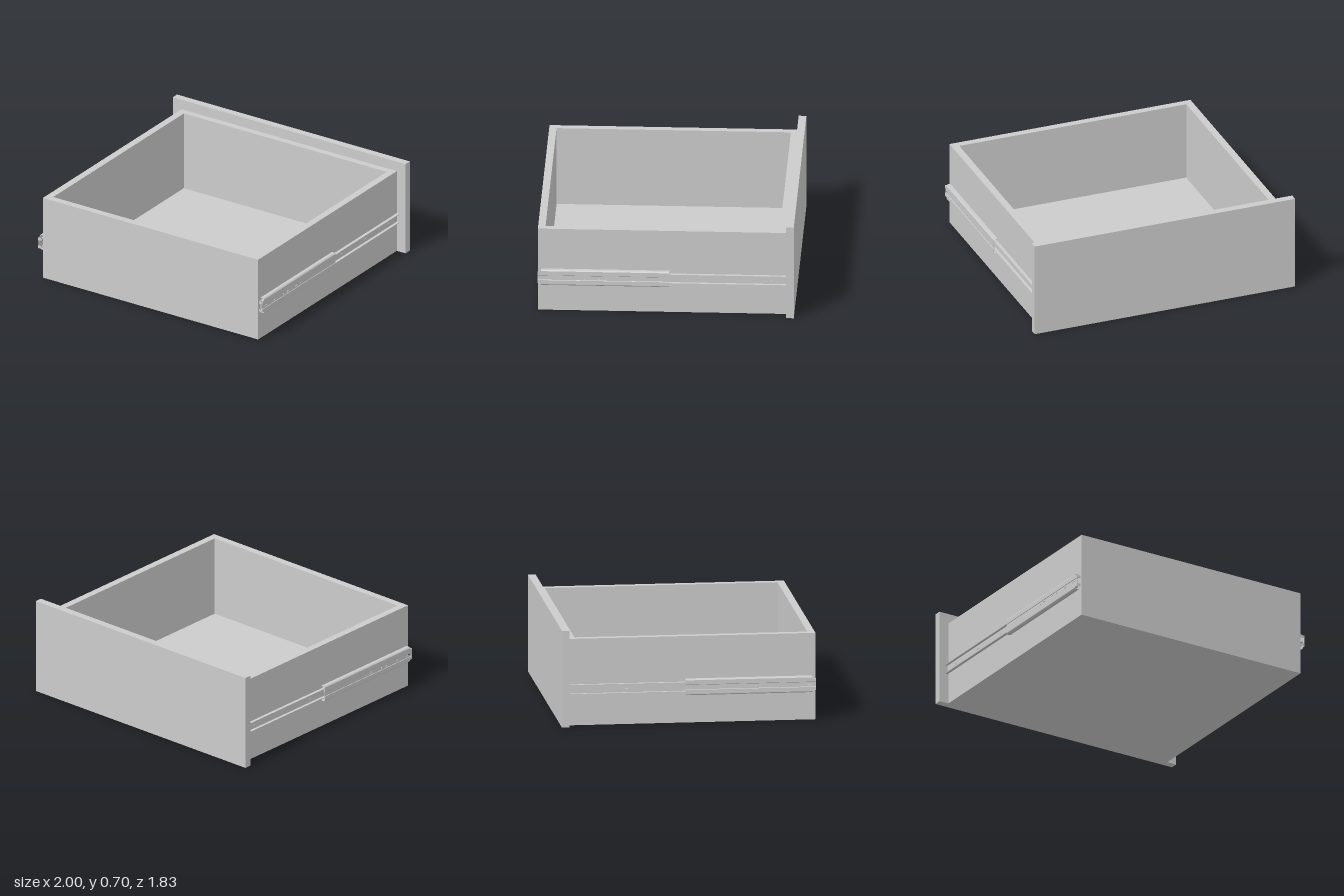
import * as THREE from 'three';

const material = new THREE.MeshStandardMaterial({ color: 0xcccccc, flatShading: true });
const RAIL_Y = 0.264;

function part(name, geometry, parent) {
  const mesh = new THREE.Mesh(geometry, material);
  mesh.name = name;
  parent.add(mesh);
  return mesh;
}

// Box given by its limits on each axis
function block(name, parent, [x0, x1], [y0, y1], [z0, z1]) {
  const g = new THREE.BoxGeometry(x1 - x0, y1 - y0, z1 - z0);
  g.translate((x0 + x1) / 2, (y0 + y1) / 2, (z0 + z1) / 2);
  return part(name, g, parent);
}

// Counter-clockwise rectangle as a Shape or a Path
function rectangle(Type, x0, x1, y0, y1) {
  return new Type([[x0, y0], [x1, y0], [x1, y1], [x0, y1]].map(([x, y]) => new THREE.Vector2(x, y)));
}

// Sheet-metal section: a bent line thickened to t, extruded along z
function bentSheet(name, parent, line, t, z0, z1) {
  const pts = line.map(([x, y]) => new THREE.Vector2(x, y));
  const last = pts.length - 1;
  const normal = (a, b) => new THREE.Vector2(a.y - b.y, b.x - a.x).normalize();
  const offset = (d) => pts.map((p, i) => {
    const n0 = normal(pts[Math.max(i - 1, 0)], pts[Math.max(i, 1)]);
    const n1 = normal(pts[Math.min(i, last - 1)], pts[Math.min(i + 1, last)]);
    const m = n0.clone().add(n1).normalize();
    return p.clone().addScaledVector(m, d / Math.max(m.dot(n0), 0.5));
  });
  const shape = new THREE.Shape([...offset(t / 2), ...offset(-t / 2).reverse()]);
  const g = new THREE.ExtrudeGeometry(shape, { depth: z1 - z0, bevelEnabled: false });
  g.translate(0, 0, z0);
  return part(name, g, parent);
}

// Upright plate in the z-y plane, with rounded slots [z, length, height]
function slottedPlate(name, parent, x, t, halfHeight, z0, z1, slots) {
  const shape = rectangle(THREE.Shape, z0, z1, -halfHeight, halfHeight);
  for (const [z, length, height] of slots) {
    const r = height / 2, d = Math.max(length / 2 - r, 0);
    const hole = new THREE.Path();
    hole.absarc(z + d, 0, r, -Math.PI / 2, Math.PI / 2, false);
    hole.absarc(z - d, 0, r, Math.PI / 2, Math.PI * 1.5, false);
    shape.holes.push(hole);
  }
  const g = new THREE.ExtrudeGeometry(shape, { depth: t, bevelEnabled: false, curveSegments: 8 });
  g.rotateY(-Math.PI / 2);
  g.translate(x + t / 2, 0, 0);
  return part(name, g, parent);
}

// Telescopic slide; s is the side, u grows away from the drawer wall
function makeSlide(s) {
  const slide = new THREE.Group();
  slide.name = s > 0 ? 'leftSlide' : 'rightSlide';
  const section = (points, v = 1) => points.map(([u, y]) => [s * u, v * y]);
  const slots = [
    [0.755, 0.02, 0.008], [0.64, 0.02, 0.018], [0.585, 0.016, 0.018],
    [0.475, 0.02, 0.014], [0.425, 0.01, 0.01],
  ];

  // Inner rail fixed along the whole drawer side
  slottedPlate('innerRailWeb', slide, s * 0.002, 0.003, 0.032, -0.862, 0.885,
    [[-0.75, 0.014, 0.014], [-0.45, 0.03, 0.012], [-0.15, 0.014, 0.014]]);
  for (const v of [1, -1]) {
    bentSheet('innerRailFlange', slide, section([[0.001, 0.033], [0.024, 0.033]], v), 0.005, -0.862, 0.885);
  }

  // Middle runner, with the ball strips between the rails
  slottedPlate('middleRunnerWeb', slide, s * 0.027, 0.002, 0.037, -0.02, 0.85, slots);
  for (const v of [1, -1]) {
    bentSheet('middleRunnerFlange', slide,
      section([[0.027, 0.036], [0.022, 0.041], [0.014, 0.041], [0.009, 0.046]], v), 0.003, -0.02, 0.85);
    for (let i = 0; i < 8; i++) {
      const ball = part('bearingBall', new THREE.SphereGeometry(0.005, 8, 6), slide);
      ball.position.set(s * 0.017, v * 0.048, 0.3 + i * 0.05);
    }
  }

  // Outer rail: recessed slotted web, stepped shoulders and curled flanges
  slottedPlate('outerRailWeb', slide, s * 0.031, 0.003, 0.018, -0.025, 0.915,
    [[0.875, 0.045, 0.008], ...slots]);
  for (const v of [1, -1]) {
    bentSheet('outerRailShoulder', slide,
      section([[0.031, 0.017], [0.034, 0.02], [0.034, 0.043]], v), 0.003, -0.025, 0.915);
    bentSheet('outerRailFlange', slide, section([
      [0.034, 0.042], [0.034, 0.05], [0.028, 0.057], [0.005, 0.057], [0.003, 0.052],
    ], v), 0.003, -0.025, 0.89);
    // Small stop foot at the open end
    const x = [s * 0.006, s * 0.034].sort((a, b) => a - b);
    const y = [v * 0.022, v * 0.04].sort((a, b) => a - b);
    block('railEndStop', slide, x, y, [0.912, 0.915]);
  }
  slide.position.set(s > 0 ? 0.925 : -0.93, RAIL_Y, 0);
  return slide;
}

export function createModel() {
  const model = new THREE.Group();
  model.name = 'drawer';

  // Hollow drawer walls, open at the top
  const walls = rectangle(THREE.Shape, -0.925, 0.925, -0.915, 0.862);
  walls.holes.push(rectangle(THREE.Path, -0.872, 0.872, -0.862, 0.812));
  const wallGeometry = new THREE.ExtrudeGeometry(walls, { depth: 0.63, bevelEnabled: false });
  wallGeometry.rotateX(-Math.PI / 2);
  part('drawerWalls', wallGeometry, model);

  block('drawerBottom', model, [-0.872, 0.872], [0, 0.04], [-0.812, 0.862]);
  block('facePanel', model, [-1, 1], [0, 0.705], [-0.917, -0.862]);

  for (const s of [1, -1]) model.add(makeSlide(s));
  return model;
}
